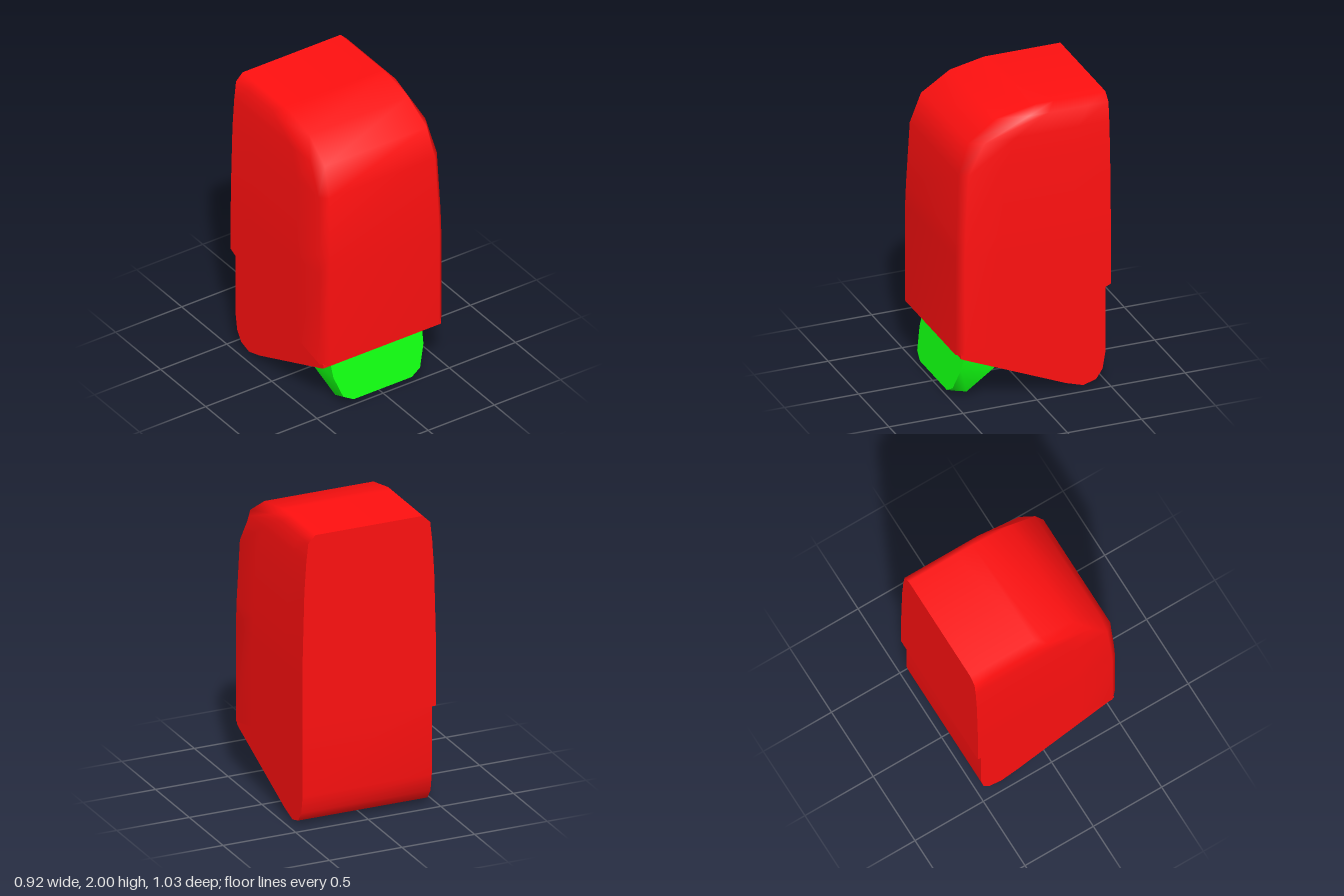
import * as THREE from 'three';
import { mergeGeometries, mergeVertices, toCreasedNormals } from 'three/addons/utils/BufferGeometryUtils.js';

const red = new THREE.MeshStandardMaterial({ color: 0xff1010 });
const green = new THREE.MeshStandardMaterial({ color: 0x10ff10 });

// Quad surface through rows of points (rows run downwards, points left to right as seen from outside)
function grid(rows) {
  const n = rows[0].length, index = [];
  for (let i = 0; i < rows.length - 1; i++) {
    for (let j = 0; j < n - 1; j++) {
      const a = i * n + j, c = a + n;
      index.push(a, c, a + 1, a + 1, c, c + 1);
    }
  }
  const g = new THREE.BufferGeometry();
  g.setAttribute('position', new THREE.Float32BufferAttribute(rows.flat(2), 3));
  g.setIndex(index);
  return g;
}

// Weld pieces that share a smooth surface
function smooth(...pieces) {
  const g = mergeVertices(mergeGeometries(pieces), 1e-4);
  g.computeVertexNormals();
  return g;
}

// Mirror a half outline (left side given as +x) into a full left-to-right row
const mirrored = (half) => [...half.map(([x, y, z]) => [-x, y, z]), ...half.slice().reverse()];

function part(name, geometry, material) {
  const mesh = new THREE.Mesh(geometry, material);
  mesh.name = name;
  return mesh;
}

const BACK = -0.515;

// Outer shell: horizontal sections with bevelled front corners and a curved lower rim
function shellGeometry() {
  // y, side half width, side front z, front half width, front z
  const sections = [
    [2, 0.37, -0.05, 0.37, 0],
    [1.95, 0.42, 0.02, 0.375, 0.23],
    [1.82, 0.434, 0.33, 0.385, 0.42],
    [1.62, 0.447, 0.44, 0.4, 0.49],
    [1.2, 0.458, 0.465, 0.412, 0.51],
    [1.05, 0.46, 0.47, 0.415, 0.515],
    [null, 0.46, 0.47, 0.415, 0.515],
  ];
  const rim = (z) => {
    const t = (0.515 - z) / 1.03;
    return 0.375 + 0.17 * t + 0.155 * t * t;
  };
  const rows = sections.map(([y, w, zs, xf, zf]) => {
    const half = [];
    for (let k = 0; k <= 4; k++) {
      const z = THREE.MathUtils.lerp(BACK, zs, k / 4);
      half.push([w, y ?? rim(z), z]);
    }
    half.push([xf, y ?? rim(zf), zf]);
    return mirrored(half);
  });
  const across = (row) => row.slice(0, row.length / 2).map((p, j) => [p, row[row.length - 1 - j]]);
  return mergeGeometries([
    smooth(grid(rows), grid(across(rows[0]))),
    smooth(grid(across(rows.at(-1)).reverse())),
    smooth(grid(rows.map((r) => [r.at(-1), r[0]]))),
  ]);
}

// Lower block: side profile (z, y) extruded across the width
function blockGeometry() {
  const profile = [
    [0.49, 0.38], [0.4, 0.6], [0.3, 0.8], [-0.485, 0.8], [-0.485, 0.23], [-0.465, 0.11],
    [-0.42, 0.045], [-0.335, 0.02], [-0.22, 0.055], [0.47, 0.345], [0.49, 0.355],
  ];
  const width = 0.89;
  const shape = new THREE.Shape(profile.map(([z, y]) => new THREE.Vector2(-z, y)));
  const g = new THREE.ExtrudeGeometry(shape, { depth: width, bevelEnabled: false });
  g.translate(0, 0, -width / 2).rotateY(Math.PI / 2);
  return toCreasedNormals(g, 0.7);
}

// Tab: tapered wedge lofted between a front and a back outline
function tabGeometry() {
  const face = (outline, [z0, y0], [z1, y1]) => mirrored(outline.map(([x, s]) =>
    [x, THREE.MathUtils.lerp(y0, y1, s), THREE.MathUtils.lerp(z0, z1, s)]));
  const front = face([[0.35, 0], [0.34, 0.45], [0.29, 0.88], [0.22, 1]], [0.41, 0.37], [0.495, 0.04]);
  const back = face([[0.35, 0], [0.345, 0.3], [0.285, 0.88], [0.19, 1]], [0.15, 0.28], [0.42, 0.005]);
  const pairs = (row) => row.slice(0, 4).map((p, j) => [p, row[7 - j]]);
  return mergeGeometries([
    smooth(grid(pairs(front))),
    smooth(grid(pairs(back).map(([l, r]) => [r, l]))),
    smooth(grid([front, back])),
  ]);
}

export function createModel() {
  const model = new THREE.Group();
  model.name = 'beveledHousing';
  model.add(
    part('outerShell', shellGeometry(), red),
    part('lowerBlock', blockGeometry(), red),
    part('tab', tabGeometry(), green),
  );
  return model;
}
